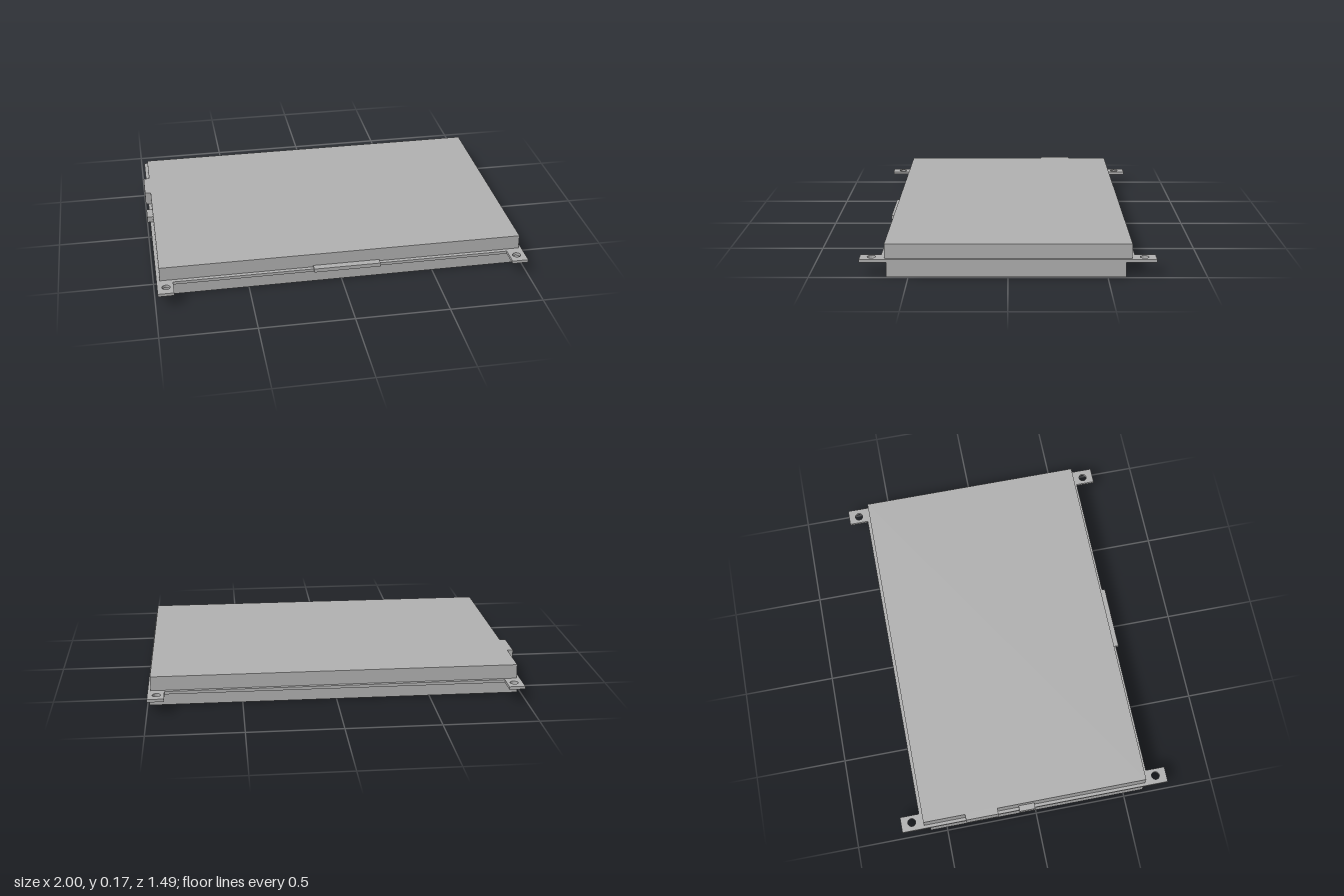
import * as THREE from 'three';

export function createModel() {
  const model = new THREE.Group();
  const grey = new THREE.MeshStandardMaterial({ color: 0xb2b2b2 });
  grey.name = 'plain grey';

  const add = (name, geometry) => {
    const mesh = new THREE.Mesh(geometry, grey);
    mesh.name = name;
    model.add(mesh);
    return mesh;
  };

  // box given by its limits on each axis
  const box = (name, [x0, x1], [y0, y1], [z0, z1]) => {
    const mesh = add(name, new THREE.BoxGeometry(x1 - x0, y1 - y0, z1 - z0));
    mesh.position.set((x0 + x1) / 2, (y0 + y1) / 2, (z0 + z1) / 2);
  };

  // shallow rear housing and raised display panel
  box('rearHousing', [-0.982, 0.991], [0, 0.077], [-0.592, 0.61]);
  box('displayPanel', [-0.968, 0.98], [0.093, 0.17], [-0.622, 0.618]);

  // mounting plate with a drilled ear at each corner
  const left = -0.985, right = 0.995, edge = 0.64, ear = 0.745;
  const innerLeft = -0.9, innerRight = 0.908;
  const outline = new THREE.Shape([
    [left, -ear], [innerLeft, -ear], [innerLeft, -edge],
    [innerRight, -edge], [innerRight, -ear], [right, -ear],
    [right, ear], [innerRight, ear], [innerRight, edge],
    [innerLeft, edge], [innerLeft, ear], [left, ear],
  ].map(([x, y]) => new THREE.Vector2(x, y)));
  for (const x of [-0.939, 0.948]) {
    for (const y of [-0.686, 0.686]) {
      const hole = new THREE.Path();
      hole.absarc(x, y, 0.022, 0, Math.PI * 2, true);
      outline.holes.push(hole);
    }
  }
  const plate = new THREE.ExtrudeGeometry(outline, {
    depth: 0.016, bevelEnabled: false, curveSegments: 8,
  });
  plate.rotateX(-Math.PI / 2).translate(0, 0.077, 0);
  add('mountingPlate', plate);

  // connectors on the side and the strip on the front edge
  box('largeConnector', [-1, -0.96], [0.098, 0.17], [-0.392, -0.213]);
  box('smallConnector', [-1, -0.96], [0.093, 0.127], [-0.095, -0.008]);
  box('frontStrip', [-0.155, 0.203], [0.08, 0.101], [0.61, 0.655]);

  return model;
}
